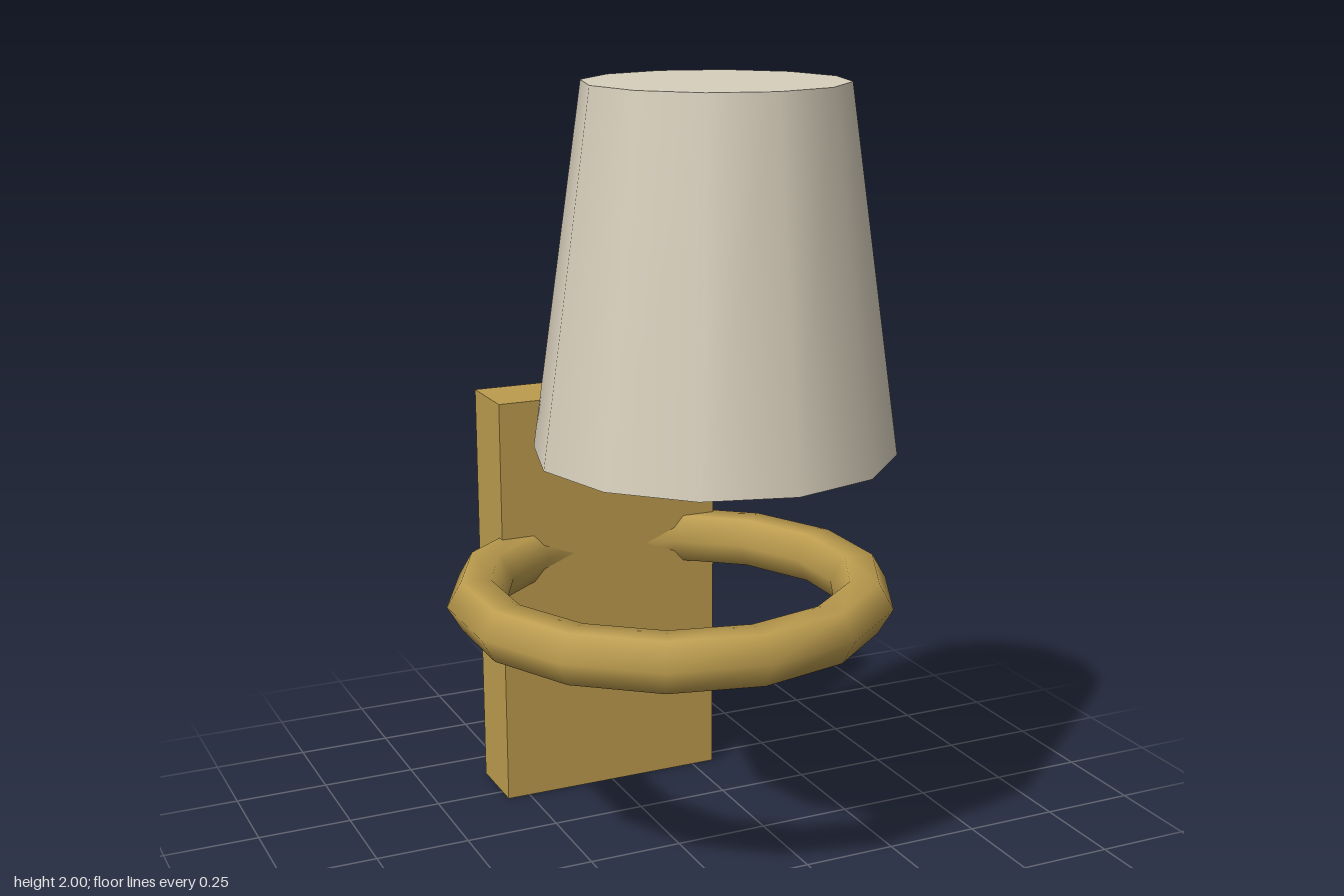
import * as THREE from 'three';

export function createModel() {
  const group = new THREE.Group();
  const brass = new THREE.MeshStandardMaterial({ color: 0xbc9c4e });
  brass.name = 'brass';
  const fabric = new THREE.MeshStandardMaterial({ color: 0xd8cfbc });
  fabric.name = 'cream fabric';

  const add = (name, geometry, material, x, y, z) => {
    const mesh = new THREE.Mesh(geometry, material);
    mesh.name = name;
    mesh.position.set(x, y, z);
    group.add(mesh);
  };

  // Wall plate at the back
  add('wallPlate', new THREE.BoxGeometry(0.625, 1.125, 0.1875), brass, 0, 0.5625, -0.544);

  // Horizontal ring arm, its back sunk into the plate
  const ring = new THREE.TorusGeometry(0.5, 0.075, 6, 14);
  ring.rotateX(Math.PI / 2).rotateY(Math.PI / 2);
  add('ringArm', ring, brass, 0, 0.6875, -0.05);

  // Tapered closed shade
  add('shade', new THREE.CylinderGeometry(0.3125, 0.4375, 0.875, 12), fabric, 0, 1.5625, 0.2);

  return group;
}
